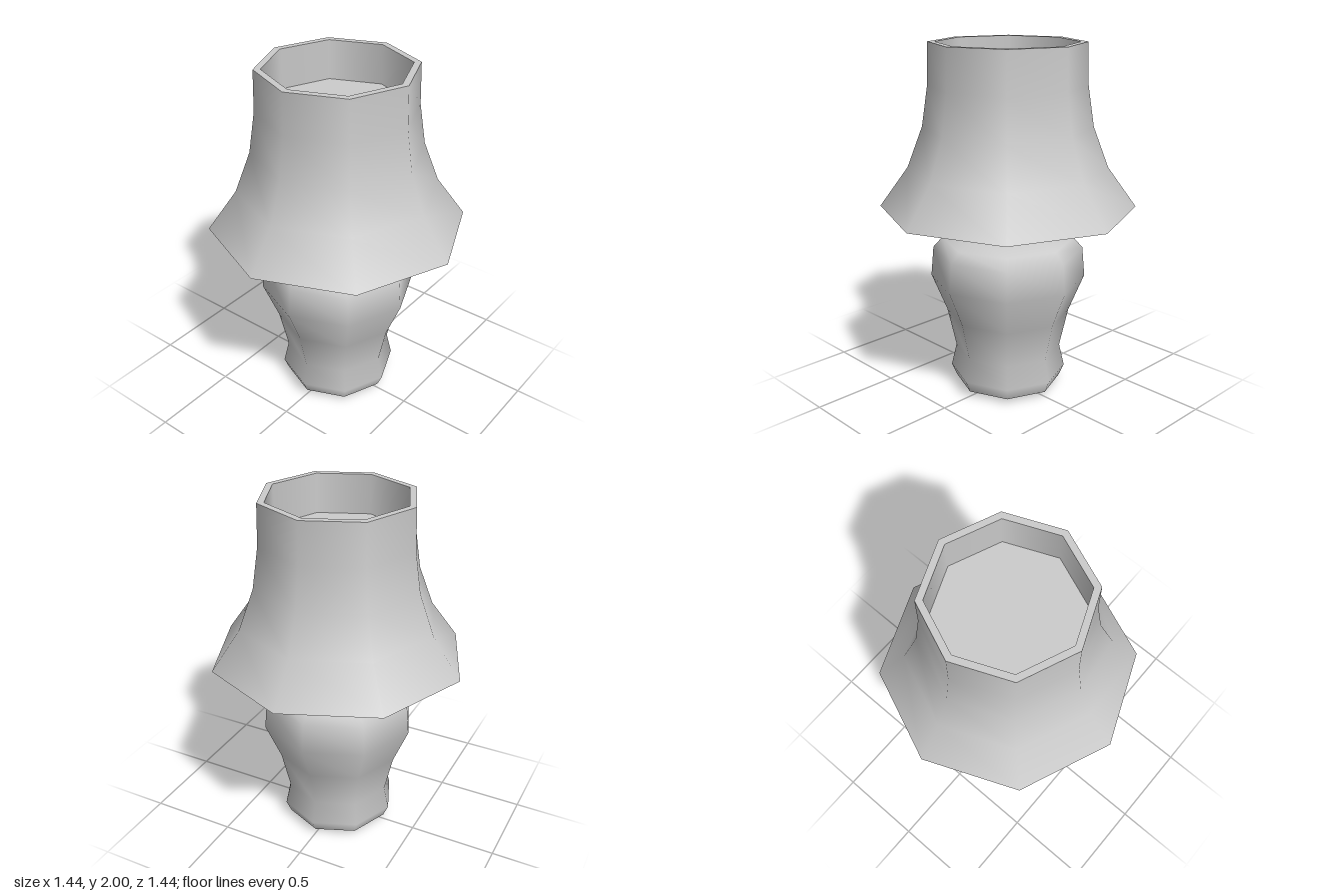
import * as THREE from 'three';

const SIDES = 8;

// Each profile is one smooth band; bands meet in sharp edges.
function turned(name, bands, material) {
  const group = new THREE.Group();
  group.name = name;
  bands.forEach((band, i) => {
    const points = band.map(([r, y]) => new THREE.Vector2(r, y));
    const mesh = new THREE.Mesh(new THREE.LatheGeometry(points, SIDES), material);
    mesh.name = `${name}Band${i + 1}`;
    group.add(mesh);
  });
  return group;
}

export function createModel() {
  const model = new THREE.Group();
  model.name = 'tableLamp';
  const grey = new THREE.MeshStandardMaterial({ color: 0xcccccc });

  // Vase-shaped foot with a shallow bevel underneath
  model.add(turned('base', [
    [[0, 0], [0.22, 0], [0.305, 0.03]],
    [[0.305, 0.03], [0.335, 0.1], [0.305, 0.23], [0.355, 0.455], [0.443, 0.67],
      [0.428, 0.84], [0.375, 0.9], [0.25, 0.932], [0.04, 0.975], [0, 0.975]],
  ], grey));

  // Rod joining the base to the shade
  const rod = new THREE.Mesh(new THREE.CylinderGeometry(0.045, 0.045, 0.36, SIDES), grey);
  rod.name = 'rod';
  rod.position.y = 1.14;
  model.add(rod);

  // Flared shade, recessed at both ends
  model.add(turned('shade', [
    [[0, 1.31], [0.52, 1.31]], // lower recess floor
    [[0.52, 1.31], [0.68, 1.085]], // lower inner wall
    [[0.68, 1.085], [0.722, 1.085]], // lower rim
    [[0.722, 1.085], [0.56, 1.31], [0.473, 1.54], [0.438, 1.77], [0.432, 2]], // outside
    [[0.432, 2], [0.393, 2]], // upper rim
    [[0.393, 2], [0.393, 1.775]], // upper inner wall
    [[0.393, 1.775], [0, 1.775]], // upper recess floor
  ], grey));

  return model;
}
